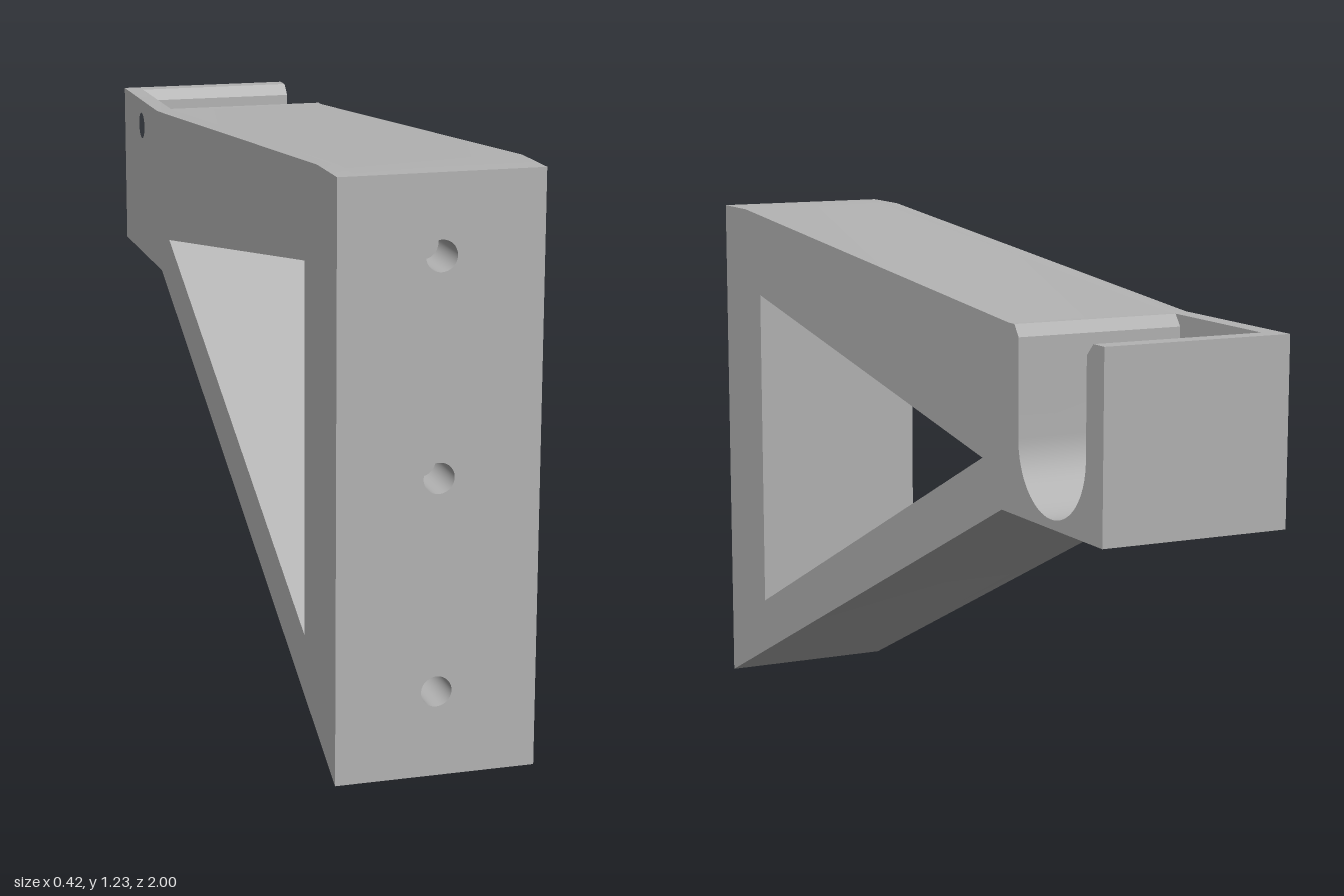
import * as THREE from 'three';
import { toCreasedNormals } from 'three/addons/utils/BufferGeometryUtils.js';

const WIDTH = 0.42, HALF = WIDTH / 2, WALL = 0.04, HOLE_R = 0.032, BORE_DEPTH = 0.12;
const SCREW_Y = [0.18, 0.625, 1.07];

const points = (list) => list.map(([z, y]) => new THREE.Vector2(-z, y));

function circlePath(x, y, r) {
  const path = new THREE.Path();
  path.absarc(x, y, r, 0, Math.PI * 2, true);
  return path;
}

// Side outline of the bracket; the rod cradle is cut in when asked for
function sideShape(withCradle) {
  const cradle = [];
  if (withCradle) {
    const zc = -0.7875, yc = 0.883, r = 0.1435, steps = 32;
    cradle.push([-0.625, 1.115], [zc + r, 1.09]);
    for (let i = 0; i <= steps; i++) {
      const a = (Math.PI * i) / steps;
      cradle.push([zc + r * Math.cos(a), yc - r * Math.sin(a)]);
    }
    cradle.push([zc - r, 1.09], [-0.957, 1.115]);
  }
  const shape = new THREE.Shape(points([
    [1, 0], [1, 1.233], [0.86, 1.233], [-0.6, 1.115], ...cradle,
    [-1, 1.115], [-1, 0.72], [-0.57, 0.72],
  ]));
  shape.holes.push(new THREE.Path(points([[0.77, 1.025], [0.77, 0.237], [-0.48, 0.815]])));
  return shape;
}

// Extrude a side outline across x, dropping faces that lie in the given planes
function slab(shape, x0, x1, dropPlanes) {
  const geo = new THREE.ExtrudeGeometry(shape, { depth: x1 - x0, bevelEnabled: false, curveSegments: 24 });
  geo.rotateY(Math.PI / 2).translate(x0, 0, 0);
  const src = geo.attributes.position.array, kept = [];
  for (let i = 0; i < src.length; i += 9) {
    const onPlane = dropPlanes.some(([axis, value]) =>
      [0, 3, 6].every((k) => Math.abs(src[i + k + axis] - value) < 1e-4));
    if (!onPlane) kept.push(...src.slice(i, i + 9));
  }
  const out = new THREE.BufferGeometry();
  out.setAttribute('position', new THREE.Float32BufferAttribute(kept, 3));
  return toCreasedNormals(out, 0.5);
}

export function createModel() {
  const model = new THREE.Group();
  model.name = 'wallBracket';
  const grey = new THREE.MeshStandardMaterial({ color: 0xb3b3b3 });
  grey.name = 'plainGrey';

  const add = (name, geometry, x = 0, y = 0, z = 0) => {
    const mesh = new THREE.Mesh(geometry, grey);
    mesh.name = name;
    mesh.position.set(x, y, z);
    model.add(mesh);
  };

  // Main frame with the open cradle
  const seam = -HALF + WALL;
  add('bracketFrame', slab(sideShape(true), seam, HALF, [[2, 1], [0, seam]]));

  // Thin side wall closing the cradle, pierced by a pin hole
  const wallShape = sideShape(false);
  wallShape.holes.push(circlePath(0.787, 1.05, HOLE_R));
  add('cradleEndWall', slab(wallShape, -HALF, seam, [[2, 1]]));

  // Mounting face with screw holes
  const face = new THREE.Shape([
    new THREE.Vector2(-HALF, 0), new THREE.Vector2(HALF, 0),
    new THREE.Vector2(HALF, 1.233), new THREE.Vector2(-HALF, 1.233),
  ]);
  SCREW_Y.forEach((y) => face.holes.push(circlePath(0, y, HOLE_R)));
  add('mountingFace', new THREE.ShapeGeometry(face, 24), 0, 0, 1);

  // Blind bores behind the screw holes, facing inward
  const bore = new THREE.CylinderGeometry(HOLE_R, HOLE_R, BORE_DEPTH, 48, 1, true);
  bore.rotateX(Math.PI / 2).scale(-1, 1, 1);
  bore.computeVertexNormals();
  const floor = new THREE.CircleGeometry(HOLE_R, 48);
  SCREW_Y.forEach((y) => {
    add('screwBore', bore, 0, y, 1 - BORE_DEPTH / 2);
    add('screwBoreFloor', floor, 0, y, 1 - BORE_DEPTH);
  });

  return model;
}
